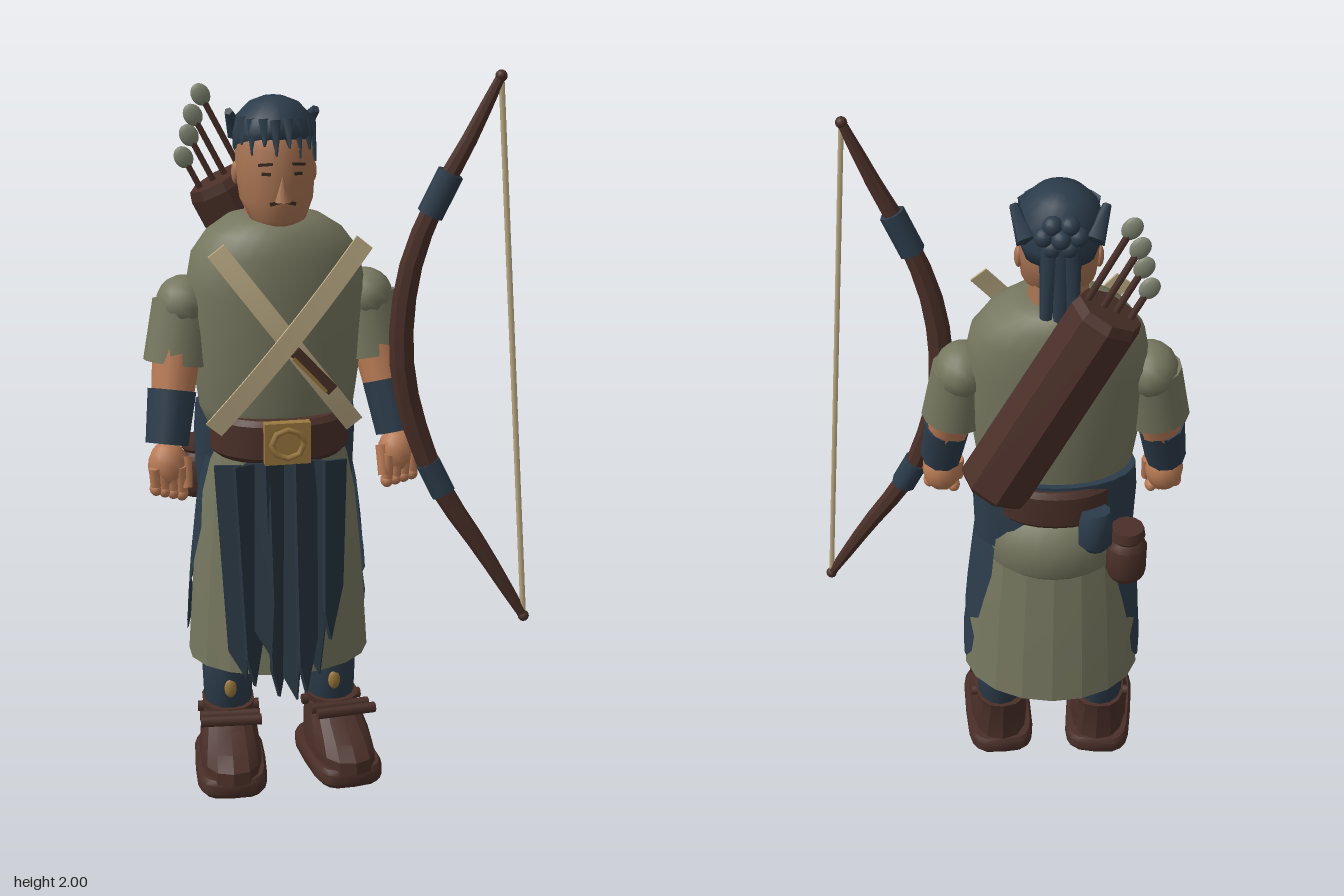
import * as THREE from 'three';
import { toCreasedNormals } from 'three/addons/utils/BufferGeometryUtils.js';

const paint = (name, color, side = THREE.FrontSide) => {
  const m = new THREE.MeshStandardMaterial({ color, side });
  m.name = name;
  return m;
};
const V = (x, y, z) => new THREE.Vector3(x, y, z);

// Closed surface through elliptical rings [y, rx, rz, centreZ], bottom to top; p < 1 squares it off
function loft(rings, seg = 20, p = 1) {
  const pos = [], idx = [];
  const pw = v => Math.sign(v) * Math.abs(v) ** p;
  for (const [y, rx, rz, cz = 0] of rings)
    for (let j = 0; j < seg; j++) {
      const t = j / seg * Math.PI * 2;
      pos.push(rx * pw(Math.sin(t)), y, cz + rz * pw(Math.cos(t)));
    }
  const n = rings.length, top = rings[n - 1], low = rings[0];
  pos.push(0, low[0], low[3] || 0, 0, top[0], top[3] || 0);
  for (let j = 0; j < seg; j++) {
    const k = (j + 1) % seg;
    for (let i = 0; i < n - 1; i++) {
      const a = i * seg + j, b = i * seg + k;
      idx.push(a, b, b + seg, a, b + seg, a + seg);
    }
    idx.push(n * seg, k, j, n * seg + 1, (n - 1) * seg + j, (n - 1) * seg + k);
  }
  const g = new THREE.BufferGeometry();
  g.setAttribute('position', new THREE.Float32BufferAttribute(pos, 3));
  g.setIndex(idx);
  g.computeVertexNormals();
  return g;
}
const crease = (g, a = 0.7) => toCreasedNormals(g, a);

export function createModel() {
  const root = new THREE.Group();
  const skin = paint('skin', 0xb87a55), face = paint('face skin', 0xa87352);
  const navy = paint('navy cloth', 0x2c3c4b, THREE.DoubleSide), apron = paint('dark apron cloth', 0x27343f);
  const sage = paint('sage cloth', 0x76775f), brown = paint('dark brown leather', 0x4a2f28);
  const tan = paint('tan strap', 0xbfae87), gold = paint('brass', 0x9a783f);
  const fletch = paint('pale sage', 0x7f8572), dark = paint('dark detail', 0x3a2a24);

  // Everything worn by the figure is placed around its own centre line
  const body = new THREE.Group();
  body.name = 'figure';
  body.position.x = -0.15;
  root.add(body);

  const add = (name, g, mat, x = 0, y = 0, z = 0, parent = body) => {
    const m = new THREE.Mesh(g, mat);
    m.name = name;
    m.position.set(x, y, z);
    parent.add(m);
    return m;
  };
  const limb = (name, a, b, ra, rb, mat, seg = 12, parent = body) => {
    const d = b.clone().sub(a);
    const m = add(name, new THREE.CylinderGeometry(rb, ra, d.length(), seg), mat, 0, 0, 0, parent);
    m.position.copy(a).addScaledVector(d, 0.5);
    m.quaternion.setFromUnitVectors(V(0, 1, 0), d.normalize());
    return m;
  };
  const ball = (name, r, mat, x, y, z, sx = 1, sy = 1, sz = 1, parent = body) => {
    const m = add(name, new THREE.SphereGeometry(r, 14, 10), mat, x, y, z, parent);
    m.scale.set(sx, sy, sz);
    return m;
  };
  const box = (name, w, h, d, mat, x, y, z, rz = 0) => {
    const m = add(name, new THREE.BoxGeometry(w, h, d), mat, x, y, z);
    m.rotation.z = rz;
    return m;
  };

  // Tunic, hips and skirt
  add('tunic', loft([[1.0, 0.19, 0.14], [1.08, 0.215, 0.15], [1.22, 0.235, 0.16], [1.4, 0.25, 0.165, -0.005],
    [1.5, 0.23, 0.16, -0.01], [1.56, 0.185, 0.148, -0.015], [1.595, 0.13, 0.12, -0.02], [1.605, 0.08, 0.08, -0.02]], 28), sage);
  add('hips', crease(loft([[0.84, 0.222, 0.12, -0.04], [1.0, 0.228, 0.132, -0.035], [1.08, 0.222, 0.132, -0.035]], 24)), navy);
  const skirt = [[0.34, 0.257, 0.21, -0.01], [0.6, 0.24, 0.19, -0.005], [0.82, 0.218, 0.165], [0.96, 0.19, 0.15]];
  add('skirt', crease(loft(skirt, 18), 0.15), sage);
  add('tunicHem', loft([[0.76, 0.17, 0.15, -0.02], [0.79, 0.2, 0.18, -0.02], [0.87, 0.2, 0.18, -0.02], [0.96, 0.17, 0.16, -0.01]], 24), sage);

  // Ragged cloth lying over each side of the skirt: rows of [y, first angle, last angle]
  const skirtAt = (y, deg) => {
    let i = 0;
    while (i < skirt.length - 2 && y > skirt[i + 1][0]) i++;
    const [a, b] = [skirt[i], skirt[i + 1]], k = (y - a[0]) / (b[0] - a[0]), t = deg * Math.PI / 180;
    const mix = q => THREE.MathUtils.lerp(a[q] || 0, b[q] || 0, k);
    return [(mix(1) + 0.01) * Math.sin(t), y, (mix(3)) + (mix(2) + 0.01) * Math.cos(t)];
  };
  const rows = [[0.94, 72, 132], [0.84, 76, 132], [0.74, 72, 132], [0.64, 80, 126], [0.57, 86, 122],
    [0.54, 96, 110], [0.49, 92, 118], [0.43, 98, 116], [0.39, 104, 108]];
  for (const s of [-1, 1]) {
    const pos = [], idx = [], n = 6;
    rows.forEach(([y, a, b], i) => {
      for (let j = 0; j <= n; j++) {
        const q = skirtAt(y, a + (b - a) * j / n);
        pos.push(s * q[0], q[1], q[2]);
        if (i && j) {
          const c = i * (n + 1) + j, d = c - n - 1;
          idx.push(...(s > 0 ? [d - 1, c - 1, c, d - 1, c, d] : [d - 1, c, c - 1, d - 1, d, c]));
        }
      }
    });
    const g = new THREE.BufferGeometry();
    g.setAttribute('position', new THREE.Float32BufferAttribute(pos, 3));
    g.setIndex(idx);
    g.computeVertexNormals();
    add('sideCloth', g, navy);
  }

  // Belt, buckle and hip pouches
  add('belt', crease(loft([[0.95, 0.18, 0.175], [0.965, 0.195, 0.187], [1.055, 0.195, 0.187], [1.07, 0.18, 0.175]], 28, 0.9), 0.5), brown);
  box('buckle', 0.125, 0.115, 0.03, gold, -0.005, 1.015, 0.19);
  add('buckleRing', new THREE.TorusGeometry(0.04, 0.008, 6, 8), gold, -0.005, 1.015, 0.207).scale.x = 1.1;
  add('bluePouch', crease(loft([[0.88, 0.03, 0.03], [0.9, 0.048, 0.045], [0.98, 0.048, 0.045], [1.01, 0.04, 0.035]], 10)), navy, -0.11, 0, -0.17);
  add('flask', crease(loft([[0.77, 0.045, 0.045], [0.79, 0.056, 0.056], [0.88, 0.056, 0.056], [0.9, 0.042, 0.042],
    [0.91, 0.05, 0.05], [0.94, 0.045, 0.045]], 12)), brown, -0.2, 0, -0.155);

  // Ragged apron of pointed overlapping strips
  [0.6, 0.62, 0.54, 0.66, 0.67, 0.64, 0.61, 0.5].forEach((len, i) => {
    const w = 0.036, s = new THREE.Shape();
    s.moveTo(-w, 0); s.lineTo(-w * 0.9, -len + 0.08); s.lineTo(i % 2 ? -0.01 : 0.014, -len);
    s.lineTo(w * 0.8, -len + 0.15); s.lineTo(w, 0);
    const m = add('apronStrip', new THREE.ExtrudeGeometry(s, { depth: 0.014, bevelEnabled: false }), apron,
      -0.163 + i * 0.041, 0.955, 0.17 + (i % 2) * 0.008);
    m.rotation.set(-0.09 - (i % 3) * 0.03, i % 2 ? 0.45 : -0.45, (i - 3.5) * -0.012);
  });

  // Crossed chest straps, bowed over the chest
  for (const [x, y, len, a, z] of [[0, 1.295, 0.614, -0.924, 0.197], [0.005, 1.303, 0.643, 0.879, 0.206]]) {
    const g = new THREE.BoxGeometry(len, 0.054, 0.008, 14), p = g.attributes.position;
    for (let i = 0; i < p.count; i++) p.setZ(i, p.getZ(i) - 0.35 * p.getX(i) ** 2);
    g.computeVertexNormals();
    add('chestStrap', g, tan, x, y, z).rotation.z = a;
  }
  box('knifeSheath', 0.15, 0.032, 0.02, brown, 0.065, 1.215, 0.205, -0.83);
  box('knifeTrim', 0.13, 0.01, 0.022, gold, 0.054, 1.206, 0.206, -0.83);

  // Arms, legs and boots, mirrored
  for (const s of [-1, 1]) {
    const P = (x, y, z) => V(s * x, y, z);
    ball('shoulder', 0.076, sage, s * 0.252, 1.365, -0.01, 1, 1, 1.15);
    limb('sleeve', P(0.252, 1.37, -0.01), P(0.275, 1.205, 0.01), 0.076, 0.084, sage, 14).scale.z = 1.1;
    limb('forearm', P(0.272, 1.27, 0.01), P(0.315, 1.0, 0.095), 0.07, 0.05, skin);
    limb('bracer', P(0.296, 1.14, 0.055), P(0.318, 1.0, 0.095), 0.066, 0.058, navy, 10);
    ball('palm', 0.052, skin, s * 0.318, 0.945, 0.108, 1.05, 1.3, 1.05);
    for (let f = 0; f < 4; f++) {
      const x = 0.285 + f * 0.023;
      limb('finger', P(x + 0.004, 0.95, 0.142), P(x, 0.88 + f * 0.006, 0.138), 0.016, 0.016, skin, 8);
      ball('fingertip', 0.018, skin, s * x, 0.87 + f * 0.006, 0.13, 1, 1.1, 1.3);
    }
    limb('thumb', P(0.272, 0.97, 0.12), P(0.272, 0.89, 0.145), 0.018, 0.015, skin, 8);

    const x = s * 0.15;
    add('trouserLeg', loft([[0.14, 0.066, 0.085], [0.3, 0.072, 0.09], [0.6, 0.08, 0.1]], 14), navy, x, 0, 0.0);
    ball('shinPatch', 0.022, gold, x - 0.004, 0.26, 0.084, 0.8, 1.3, 0.5);

    // Boots turned slightly outwards
    const foot = new THREE.Group();
    foot.name = 'boot';
    foot.position.x = x;
    foot.rotation.y = s * 0.09;
    body.add(foot);
    add('bootSole', crease(loft([[0, 0.09, 0.17, 0.08], [0.012, 0.1, 0.178, 0.08], [0.042, 0.1, 0.178, 0.08], [0.055, 0.092, 0.17, 0.08]], 20, 0.5)), brown, 0, 0, 0, foot);
    add('bootUpper', crease(loft([[0.045, 0.086, 0.18, 0.09], [0.08, 0.087, 0.177, 0.088], [0.115, 0.083, 0.155, 0.065],
      [0.15, 0.076, 0.12, 0.028], [0.18, 0.07, 0.1, 0.005], [0.2, 0.075, 0.1, 0.002]], 14, 0.8), 0.3), brown, 0, 0, 0, foot);
    for (const [y, z, w] of [[0.198, 0.165, 0.17], [0.185, 0.1, 0.17], [0.175, 0.01, 0.175]])
      limb('bootTie', V(-w / 2, y, z), V(w / 2, y, z), 0.015, 0.015, brown, 6, foot);
  }

  // Head and face
  limb('neck', V(0, 1.53, -0.02), V(0, 1.68, -0.01), 0.085, 0.078, face, 14);
  add('head', loft([[1.582, 0.045, 0.035, 0.07], [1.6, 0.075, 0.07, 0.045], [1.65, 0.098, 0.105, 0.022], [1.72, 0.106, 0.122, 0.006],
    [1.79, 0.104, 0.122, 0.0], [1.84, 0.09, 0.1, 0], [1.87, 0.06, 0.07, 0]], 22), face);
  add('nose', new THREE.ConeGeometry(0.022, 0.07, 8), face, 0, 1.69, 0.128);
  for (const s of [-1, 1]) {
    box('moustache', 0.036, 0.009, 0.008, dark, s * 0.017, 1.653, 0.125, s * -0.25).rotation.y = s * 0.15;
    box('eye', 0.024, 0.008, 0.008, dark, s * 0.042, 1.728, 0.117).rotation.y = s * 0.35;
    box('brow', 0.038, 0.007, 0.008, dark, s * 0.044, 1.753, 0.117, s * -0.1).rotation.y = s * 0.35;
    ball('ear', 0.024, face, s * 0.104, 1.715, -0.01, 0.5, 1.3, 0.8);
    // Loose tufts standing off the back of the head
    limb('hairTuft', V(s * 0.085, 1.81, -0.1), V(s * 0.118, 1.875, -0.03), 0.03, 0.012, navy, 5);
  }

  // Hair: cap, fringe, knot and tail
  add('hair', loft([[1.745, 0.09, 0.07, -0.055], [1.78, 0.108, 0.098, -0.027], [1.82, 0.111, 0.121, -0.006],
    [1.865, 0.1, 0.112, -0.008], [1.9, 0.066, 0.077, -0.01], [1.915, 0.028, 0.033, -0.01]], 20), navy);
  [[-0.098, 1.8], [-0.075, 1.775], [-0.045, 1.8], [-0.015, 1.775], [0.02, 1.795], [0.05, 1.765], [0.08, 1.785], [0.1, 1.75]].forEach(([x, y]) => {
    const z = 0.125 - 6.5 * x * x;
    limb('fringeSpike', V(x * 0.85, 1.86, z - 0.035), V(x, y, z), 0.022, 0.003, navy, 5);
  });
  for (let i = 0; i < 7; i++) {
    const a = i / 6 * Math.PI * 2, r = i < 6 ? 0.036 : 0;
    ball('hairKnot', 0.026, navy, r * Math.cos(a) * 1.2, 1.83 + r * Math.sin(a), i < 6 ? -0.115 : -0.128);
  }
  for (const i of [-1, 0, 1])
    limb('hairTail', V(i * 0.025, 1.8, -0.105), V(i * 0.035, 1.56 + Math.abs(i) * 0.04, -0.13), 0.03, 0.016, navy, 6);

  // Quiver slung across the back, with arrows
  const quiver = new THREE.Group();
  quiver.name = 'quiver';
  quiver.position.set(-0.13, 1.395, -0.2);
  quiver.rotation.z = 0.485;
  root.add(quiver);
  add('quiverCase', crease(loft([[-0.325, 0.085, 0.075], [-0.305, 0.104, 0.095], [0.285, 0.097, 0.09], [0.312, 0.088, 0.08]], 8), 0.2), brown, 0, 0, 0, quiver);
  for (const [x, y] of [[-0.32, 1.9], [-0.342, 1.845], [-0.354, 1.79], [-0.37, 1.73]]) {
    limb('arrowShaft', V(x, y, -0.195), V(x + 0.15, y - 0.29, -0.2), 0.009, 0.009, brown, 6, root);
    ball('arrowFletching', 0.029, fletch, x, y, -0.195, 0.9, 1.1, 0.42, root).rotation.z = 0.485;
  }

  // Bow: tube thinned towards its tips
  const bow = new THREE.Group();
  bow.name = 'bow';
  root.add(bow);
  const curve = new THREE.CatmullRomCurve3([[0.41, 1.98, 0.212], [0.325, 1.8, 0.195], [0.255, 1.665, 0.18], [0.19, 1.49, 0.165],
    [0.165, 1.31, 0.158], [0.175, 1.15, 0.158], [0.225, 0.97, 0.165], [0.28, 0.845, 0.178], [0.39, 0.675, 0.195], [0.515, 0.468, 0.212]]
    .map(p => V(...p)));
  const n = 18, g = new THREE.TubeGeometry(curve, n, 1, 8), p = g.attributes.position;
  for (let i = 0; i < p.count; i++) {
    const u = Math.floor(i / 9) / n, c = curve.getPointAt(u), v = V(0, 0, 0).fromBufferAttribute(p, i);
    v.sub(c).multiplyScalar(0.013 + 0.021 * Math.sin(Math.PI * u) ** 0.8).add(c);
    p.setXYZ(i, v.x, v.y, v.z);
  }
  g.computeVertexNormals();
  add('bowStave', crease(g, 0.5), brown, 0, 0, 0, bow);
  for (const [a, b] of [[0.17, 0.245], [0.675, 0.735]])
    limb('bowWrap', curve.getPointAt(a), curve.getPointAt(b), 0.036, 0.036, navy, 8, bow);
  const [tipA, tipB] = [curve.getPoint(0), curve.getPoint(1)];
  for (const t of [tipA, tipB]) ball('bowTip', 0.016, brown, t.x, t.y, t.z, 1, 1, 1, bow);
  limb('bowString', tipA, tipB, 0.008, 0.008, tan, 6, bow);

  return root;
}
